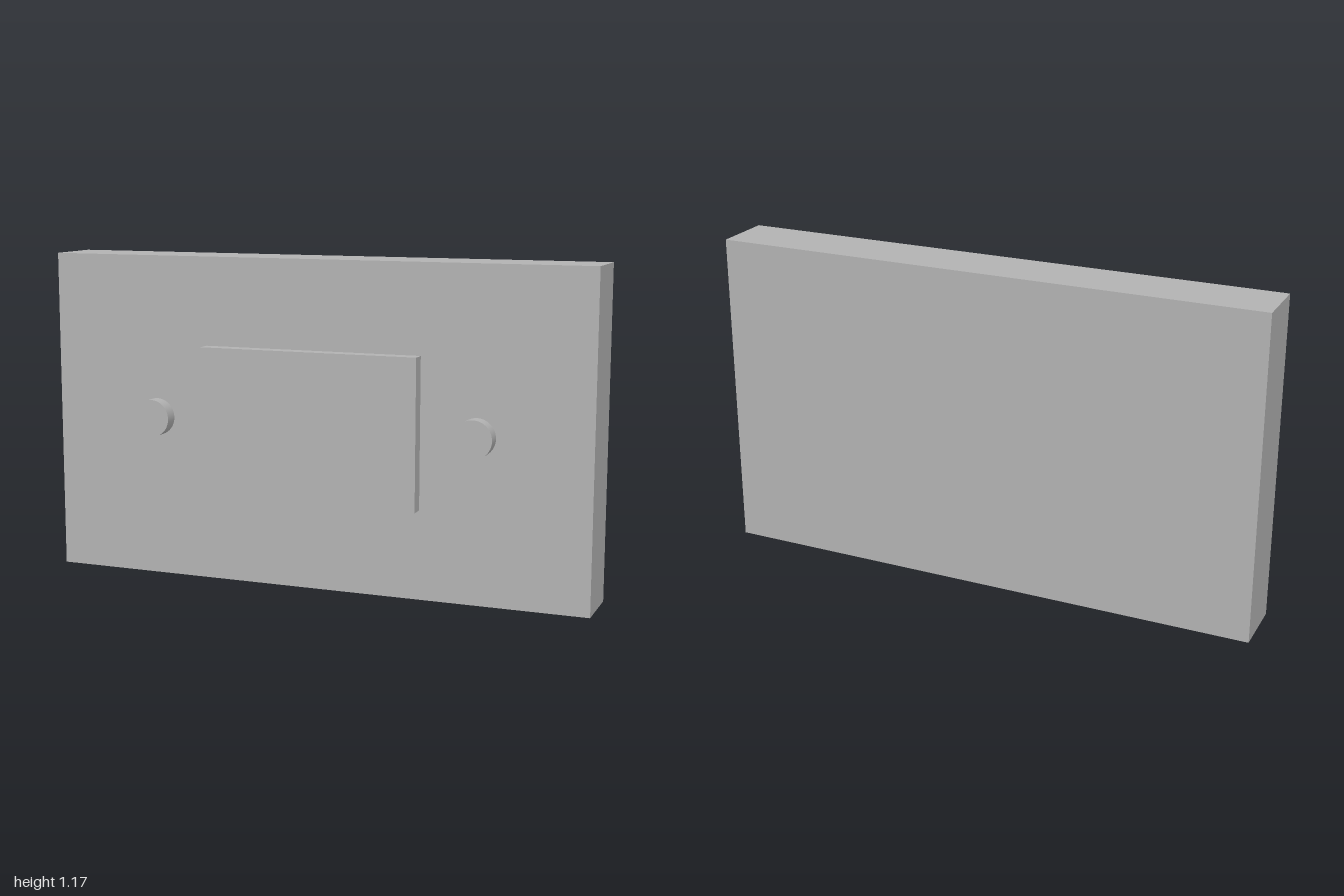
import * as THREE from 'three';

export function createModel() {
  const model = new THREE.Group();
  const grey = new THREE.MeshStandardMaterial({ color: 0xb2b2b2 });
  grey.name = 'plain grey';

  const midY = 0.5833;    // height of the centre line
  const faceZ = 0.0833;   // front face of the slab
  const relief = 0.05;    // how far the front details stand out

  const add = (name, geometry, x, y, z) => {
    const mesh = new THREE.Mesh(geometry, grey);
    mesh.name = name;
    mesh.position.set(x, y, z);
    model.add(mesh);
  };

  // Main slab
  add('body', new THREE.BoxGeometry(2, 1.1667, 0.2167), 0, midY, -0.025);

  // Raised rectangular panel in the middle of the front
  add('frontPanel', new THREE.BoxGeometry(0.8, 0.5333, relief), 0, midY, faceZ + relief / 2);

  // Round knobs either side of the panel
  for (const [name, side] of [['leftKnob', 1], ['rightKnob', -1]]) {
    const knob = new THREE.CylinderGeometry(0.0667, 0.0667, relief, 48).rotateX(Math.PI / 2);
    add(name, knob, side * 0.6, midY, faceZ + relief / 2);
  }

  return model;
}
